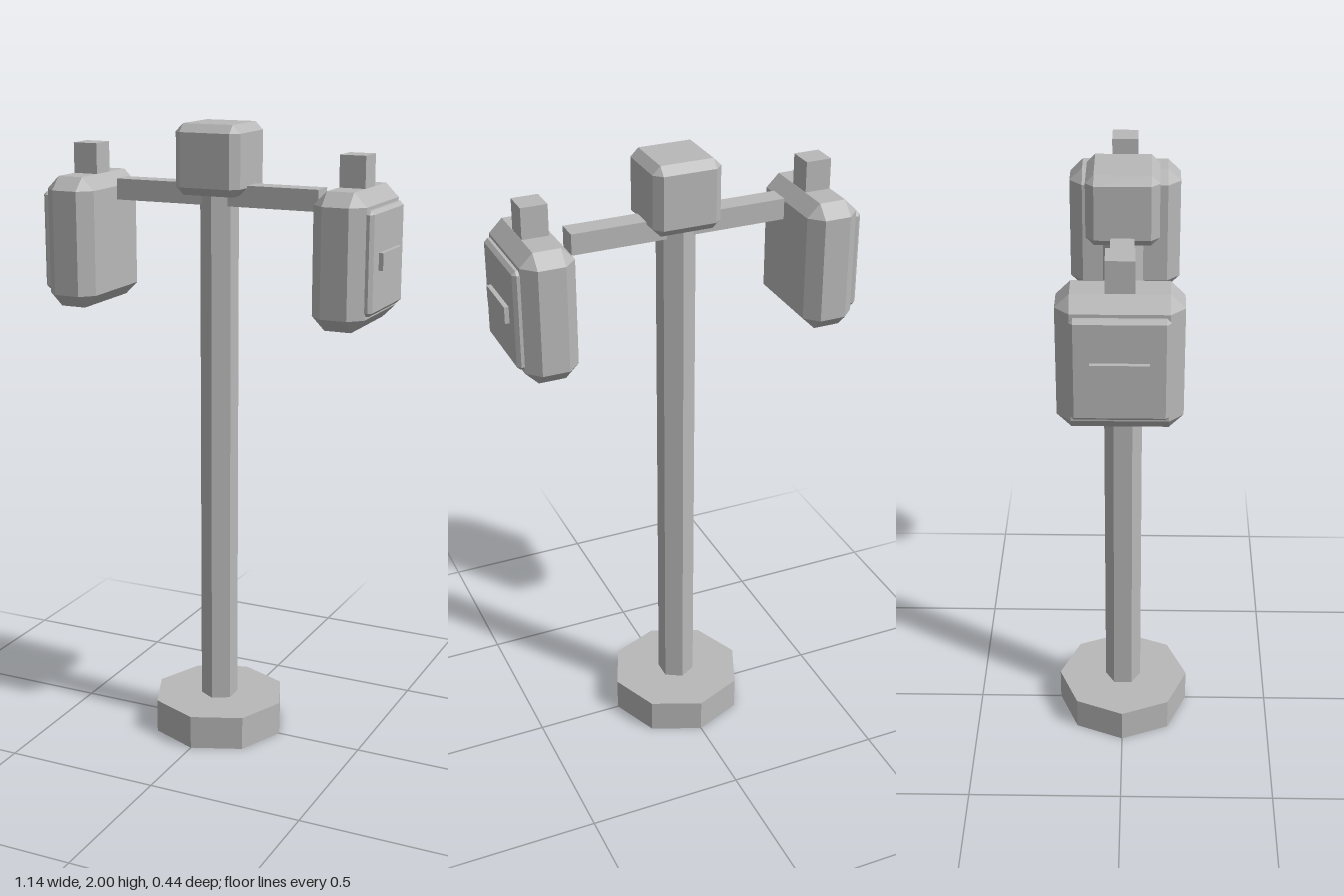
import * as THREE from 'three';
import { ConvexGeometry } from 'three/addons/geometries/ConvexGeometry.js';

// Box with flat chamfered edges and triangular corners
function chamferBox(w, h, d, b) {
  const half = [w / 2, h / 2, d / 2];
  const points = [];
  for (const sx of [-1, 1]) for (const sy of [-1, 1]) for (const sz of [-1, 1]) {
    for (let axis = 0; axis < 3; axis++) {
      const [x, y, z] = half.map((v, i) => (i === axis ? v : v - b));
      points.push(new THREE.Vector3(sx * x, sy * y, sz * z));
    }
  }
  return new ConvexGeometry(points);
}

export function createModel() {
  const model = new THREE.Group();
  model.name = 'twinBoxPost';
  const grey = new THREE.MeshStandardMaterial({ color: 0xb8b8b8, flatShading: true });
  grey.name = 'plain grey';

  const add = (parent, name, geometry, x, y, z = 0) => {
    const mesh = new THREE.Mesh(geometry, grey);
    mesh.name = name;
    mesh.position.set(x, y, z);
    parent.add(mesh);
  };

  // Octagonal foot, hexagonal pole, crossbar and cap block
  add(model, 'base', new THREE.CylinderGeometry(0.22, 0.22, 0.11, 8), 0, 0.055);
  add(model, 'pole', new THREE.CylinderGeometry(0.06, 0.06, 1.72, 6), 0, 0.95);
  add(model, 'crossbar', new THREE.BoxGeometry(0.684, 0.066, 0.07), 0, 1.783);
  add(model, 'capBlock', chamferBox(0.216, 0.216, 0.216, 0.025), 0, 1.892);

  // Hanging boxes, mirrored left and right, doors facing outwards
  const body = chamferBox(0.166, 0.412, 0.356, 0.041);
  const door = chamferBox(0.06, 0.31, 0.276, 0.011);
  const handle = new THREE.BoxGeometry(0.03, 0.052, 0.164);
  const stub = new THREE.BoxGeometry(0.082, 0.13, 0.082);
  for (const side of [1, -1]) {
    const box = new THREE.Group();
    box.name = side > 0 ? 'leftBox' : 'rightBox';
    add(box, 'body', body, side * 0.451, 1.621);
    add(box, 'door', door, side * 0.524, 1.621);
    add(box, 'handle', handle, side * 0.553, 1.623);
    add(box, 'topStub', stub, side * 0.451, 1.858);
    model.add(box);
  }
  return model;
}
